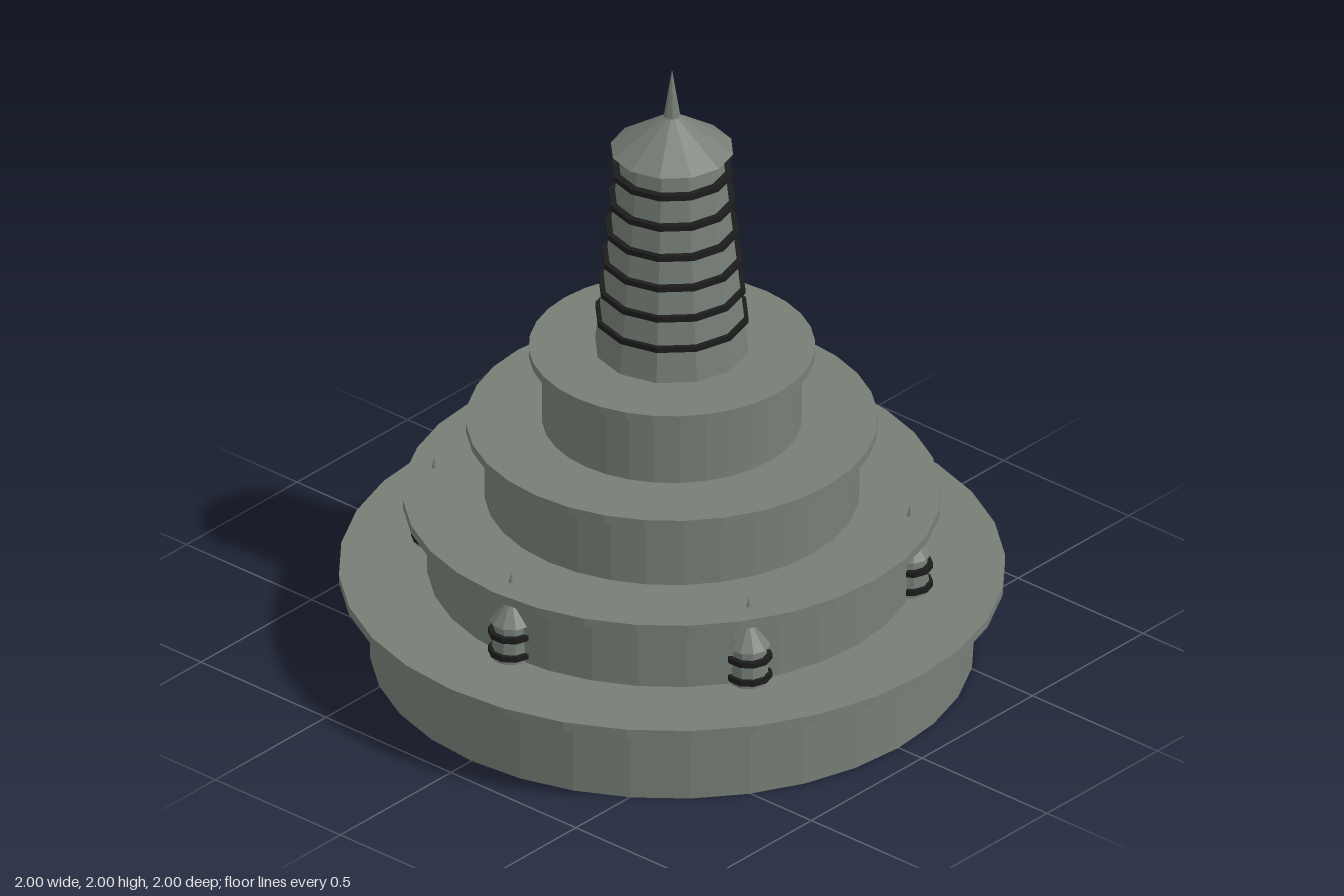
import * as THREE from 'three';

export function createModel() {
  const stone = new THREE.MeshStandardMaterial({ color: 0x767e76, flatShading: true });
  stone.name = 'grey green stone';
  const dark = new THREE.MeshStandardMaterial({ color: 0x1c1c1c, flatShading: true });
  dark.name = 'black band';

  const model = new THREE.Group();
  model.name = 'steppedTower';

  // Upright round part from y0 to y1
  function round(parent, name, material, rBottom, rTop, y0, y1, sides) {
    const geometry = rTop === 0
      ? new THREE.ConeGeometry(rBottom, y1 - y0, sides)
      : new THREE.CylinderGeometry(rTop, rBottom, y1 - y0, sides);
    const mesh = new THREE.Mesh(geometry, material);
    mesh.name = name;
    mesh.position.y = (y0 + y1) / 2;
    parent.add(mesh);
    return mesh;
  }

  // Four stacked terraces, each with an overhanging slab
  const terraces = [[0.907, 1.0], [0.735, 0.808], [0.563, 0.618], [0.39, 0.43]];
  const step = 0.2535, slab = 0.028;
  const base = 0.287;
  terraces.forEach(([wall, edge], i) => {
    const top = base + i * step;
    const bottom = i === 0 ? 0 : top - step;
    round(model, 'terraceWall', stone, wall, wall, bottom, top - slab, 32);
    round(model, 'terraceSlab', stone, edge, edge, top - slab, top, 32);
  });

  // Central tapering tower with bands, roof and spire
  const tower = new THREE.Group();
  tower.name = 'centralTower';
  round(tower, 'towerShaft', stone, 0.235, 0.155, 1.047, 1.73, 12);
  for (let i = 0; i < 6; i++) {
    const y = 1.16 + i * 0.0993, r = 0.234 - i * 0.0098;
    round(tower, 'towerBand', dark, r, r, y - 0.009, y + 0.009, 12);
  }
  round(tower, 'towerRoof', stone, 0.187, 0, 1.727, 1.855, 12);
  round(tower, 'towerSpire', stone, 0.025, 0, 1.84, 2.0, 8);
  model.add(tower);

  // Six small shrines around the first terrace
  for (let i = 0; i < 6; i++) {
    const a = (i * Math.PI) / 3;
    const shrine = new THREE.Group();
    shrine.name = 'smallShrine';
    shrine.position.set(Math.cos(a) * 0.727, 0, Math.sin(a) * 0.727);
    round(shrine, 'shrineBody', stone, 0.06, 0.052, base, 0.412, 10);
    for (const y of [0.31, 0.373]) {
      round(shrine, 'shrineBand', dark, 0.07, 0.07, y - 0.009, y + 0.009, 10);
    }
    round(shrine, 'shrineRoof', stone, 0.065, 0, 0.41, 0.495, 10);
    round(shrine, 'shrineSpire', stone, 0.022, 0, 0.478, 0.575, 8);
    model.add(shrine);
  }
  return model;
}
